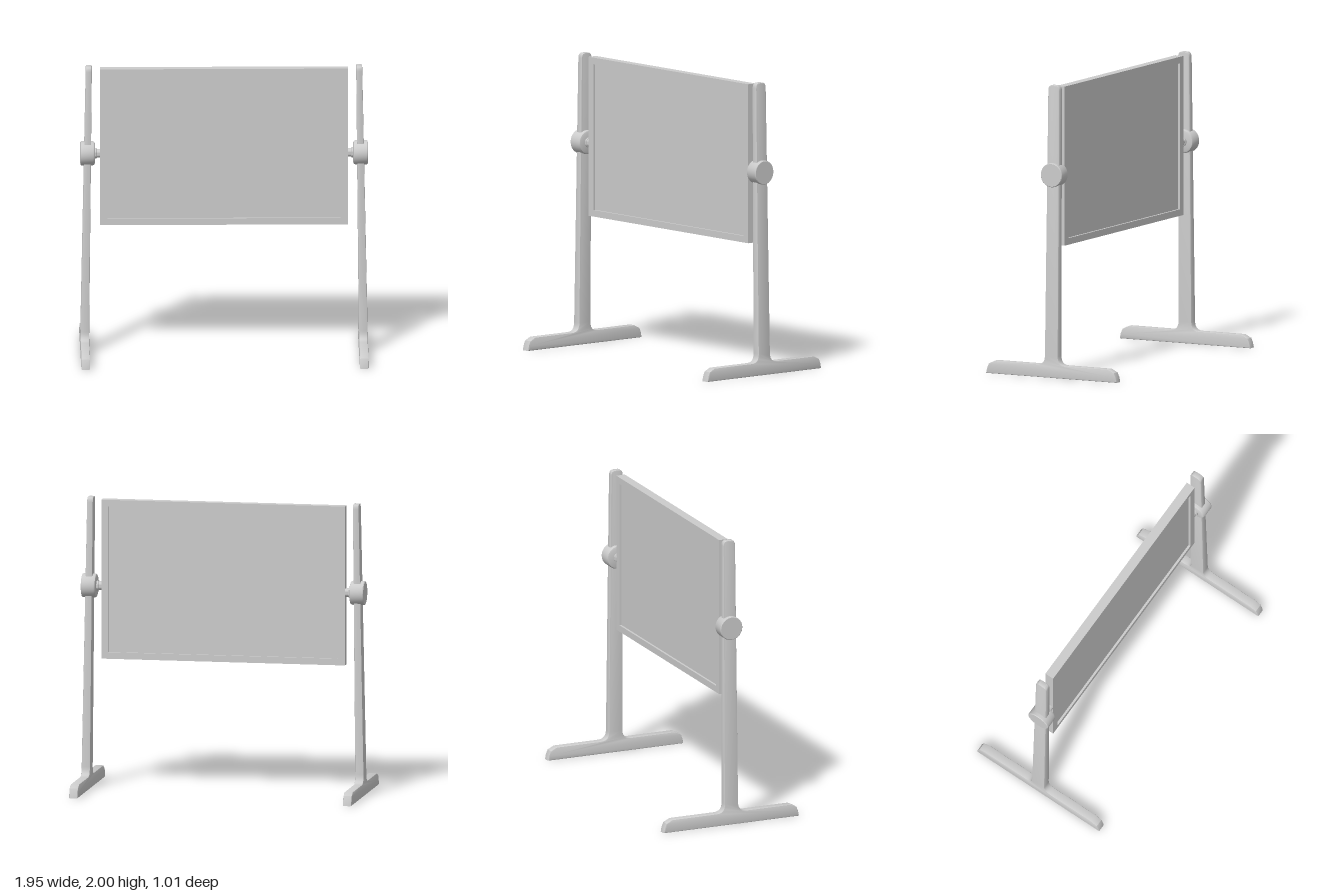
import * as THREE from 'three';
import { toCreasedNormals } from 'three/addons/utils/BufferGeometryUtils.js';

const material = new THREE.MeshStandardMaterial({ color: 0xcccccc });
const lerp = THREE.MathUtils.lerp;

function addMesh(parent, name, geometry, x = 0, y = 0, z = 0) {
  const mesh = new THREE.Mesh(geometry, material);
  mesh.name = name;
  mesh.position.set(x, y, z);
  parent.add(mesh);
  return mesh;
}

// Inverted T outline: foot with rounded ends, filleted into a tapering post
function standGeometry() {
  const s = new THREE.Shape();
  s.moveTo(-0.505, 0);
  s.lineTo(0.505, 0);
  s.lineTo(0.498, 0.035);
  s.lineTo(0.485, 0.066);
  s.lineTo(0.44, 0.088);
  s.lineTo(0.11, 0.088);
  s.quadraticCurveTo(0.051, 0.088, 0.051, 0.15);
  s.lineTo(0.044, 1.965);
  s.quadraticCurveTo(0.042, 2, 0.015, 2);
  s.lineTo(-0.015, 2);
  s.quadraticCurveTo(-0.042, 2, -0.044, 1.965);
  s.lineTo(-0.051, 0.15);
  s.quadraticCurveTo(-0.051, 0.088, -0.11, 0.088);
  s.lineTo(-0.44, 0.088);
  s.lineTo(-0.485, 0.066);
  s.lineTo(-0.498, 0.035);
  s.closePath();

  const bevel = 0.007;
  const g = new THREE.ExtrudeGeometry(s, {
    depth: 0.06 - 2 * bevel, bevelEnabled: true, bevelThickness: bevel,
    bevelSize: bevel, bevelOffset: -bevel, bevelSegments: 2, curveSegments: 6,
  });
  g.translate(0, 0, -0.03 + bevel);
  g.rotateY(Math.PI / 2);

  // Lean the post inwards and thin it towards the top
  const p = g.attributes.position;
  for (let i = 0; i < p.count; i++) {
    const t = THREE.MathUtils.clamp((p.getY(i) - 0.12) / 1.88, 0, 1);
    p.setX(i, lerp(0.945, 0.917, t) + p.getX(i) * lerp(1, 0.68, t));
  }
  return toCreasedNormals(g, 0.6);
}

// Turned part along x from [radius, x] pairs
function turned(points, segments) {
  const g = new THREE.LatheGeometry(points.map(([r, x]) => new THREE.Vector2(r, x)), segments);
  g.rotateZ(-Math.PI / 2);
  return toCreasedNormals(g, 0.6);
}

function rectangle(Type, x, y) {
  const r = new Type();
  r.moveTo(-x, -y);
  r.lineTo(x, -y);
  r.lineTo(x, y);
  r.lineTo(-x, y);
  r.closePath();
  return r;
}

export function createModel() {
  const model = new THREE.Group();
  model.name = 'pivotingBoard';

  // Board: frame with a panel recessed on both faces
  const board = new THREE.Group();
  board.name = 'board';
  board.position.y = 1.437;
  model.add(board);
  const outline = rectangle(THREE.Shape, 0.84, 0.545);
  outline.holes.push(rectangle(THREE.Path, 0.79, 0.5));
  const frame = new THREE.ExtrudeGeometry(outline, { depth: 0.064, bevelEnabled: false });
  frame.translate(0, 0, -0.032);
  addMesh(board, 'frame', frame);
  addMesh(board, 'panel', new THREE.BoxGeometry(1.59, 1.01, 0.034));

  // Two supports, the second turned half round
  const stand = standGeometry();
  const knob = turned([[0, 0.876], [0.066, 0.876], [0.077, 0.88], [0.082, 0.89],
    [0.082, 0.97], [0.078, 0.975], [0, 0.975]], 32);
  const pin = turned([[0, 0.83], [0.03, 0.83], [0.03, 0.862], [0.035, 0.864],
    [0.035, 0.885], [0, 0.885]], 24);
  for (const side of ['left', 'right']) {
    const support = new THREE.Group();
    support.name = side + 'Support';
    if (side === 'right') support.rotation.y = Math.PI;
    addMesh(support, 'postAndFoot', stand);
    addMesh(support, 'pivotKnob', knob, 0, 1.388);
    addMesh(support, 'pivotPin', pin, 0, 1.388);
    model.add(support);
  }
  return model;
}
